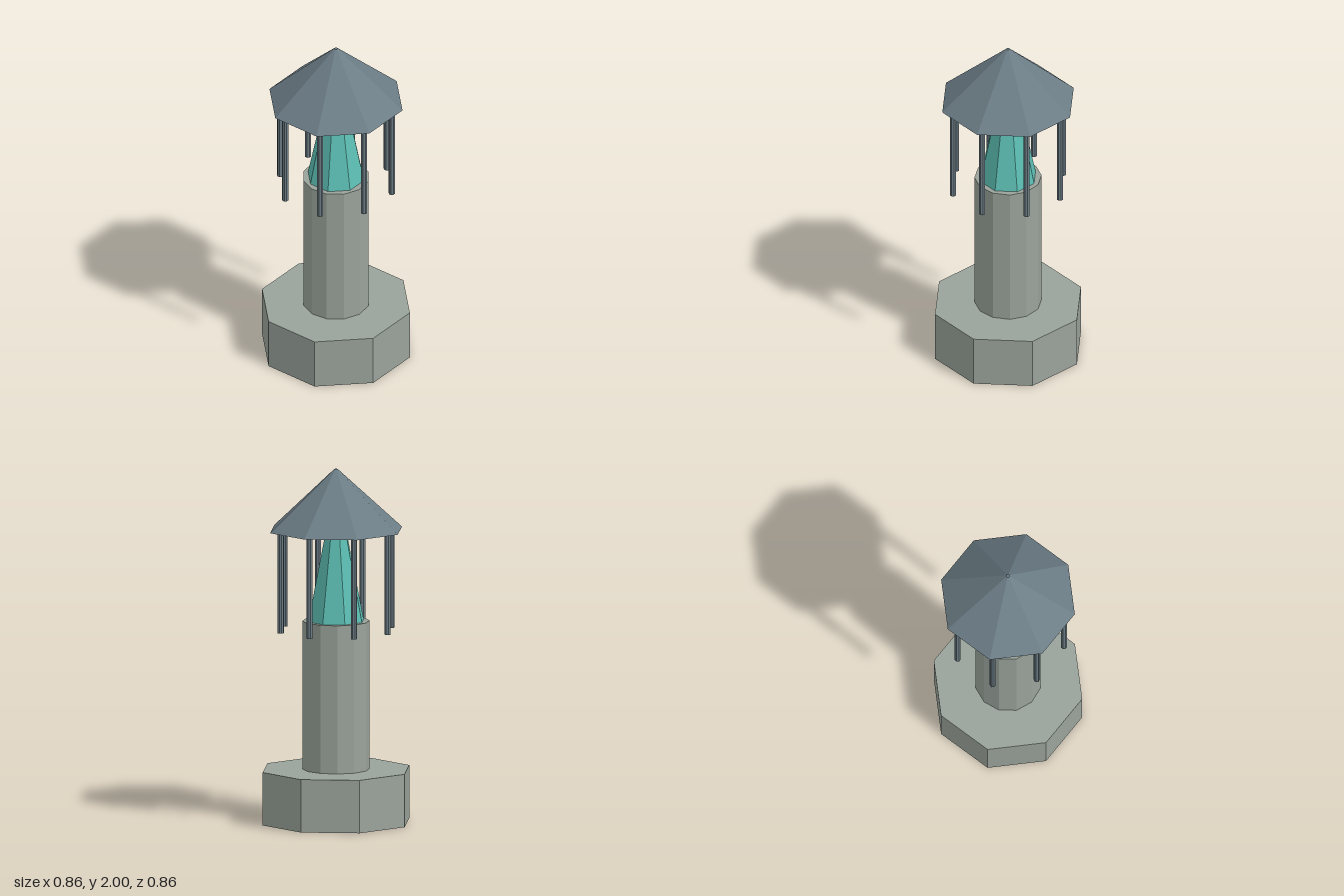
import * as THREE from 'three';

const material = (color) => new THREE.MeshStandardMaterial({ color, flatShading: true });

export function createModel() {
  const model = new THREE.Group();
  model.name = 'lantern';
  const stone = material(0x9aa39b);
  const slate = material(0x6c7d86);
  const glow = material(0x5cbdb3);

  // Upright prism or tapered prism standing between two heights
  const addPrism = (name, rTop, rBottom, y0, y1, sides, mat, x = 0, z = 0) => {
    const geometry = new THREE.CylinderGeometry(rTop, rBottom, y1 - y0, sides);
    const mesh = new THREE.Mesh(geometry, mat);
    mesh.name = name;
    mesh.position.set(x, (y0 + y1) / 2, z);
    model.add(mesh);
  };

  // Pedestal, column and tapered crystal
  addPrism('base', 0.431, 0.431, 0, 0.3, 8, stone);
  addPrism('column', 0.188, 0.188, 0.3, 1.14, 12, stone);
  addPrism('crystal', 0.065, 0.163, 1.14, 1.625, 8, glow);

  // Roof with a tiny blunt tip
  addPrism('roof', 0.01, 0.388, 1.655, 2, 8, slate);

  // Ring of rods hanging from the roof
  for (let i = 0; i < 8; i++) {
    const a = (i * Math.PI) / 4;
    addPrism(`rod${i + 1}`, 0.018, 0.018, 1.085, 1.66, 8, slate, 0.325 * Math.sin(a), 0.325 * Math.cos(a));
  }
  return model;
}
